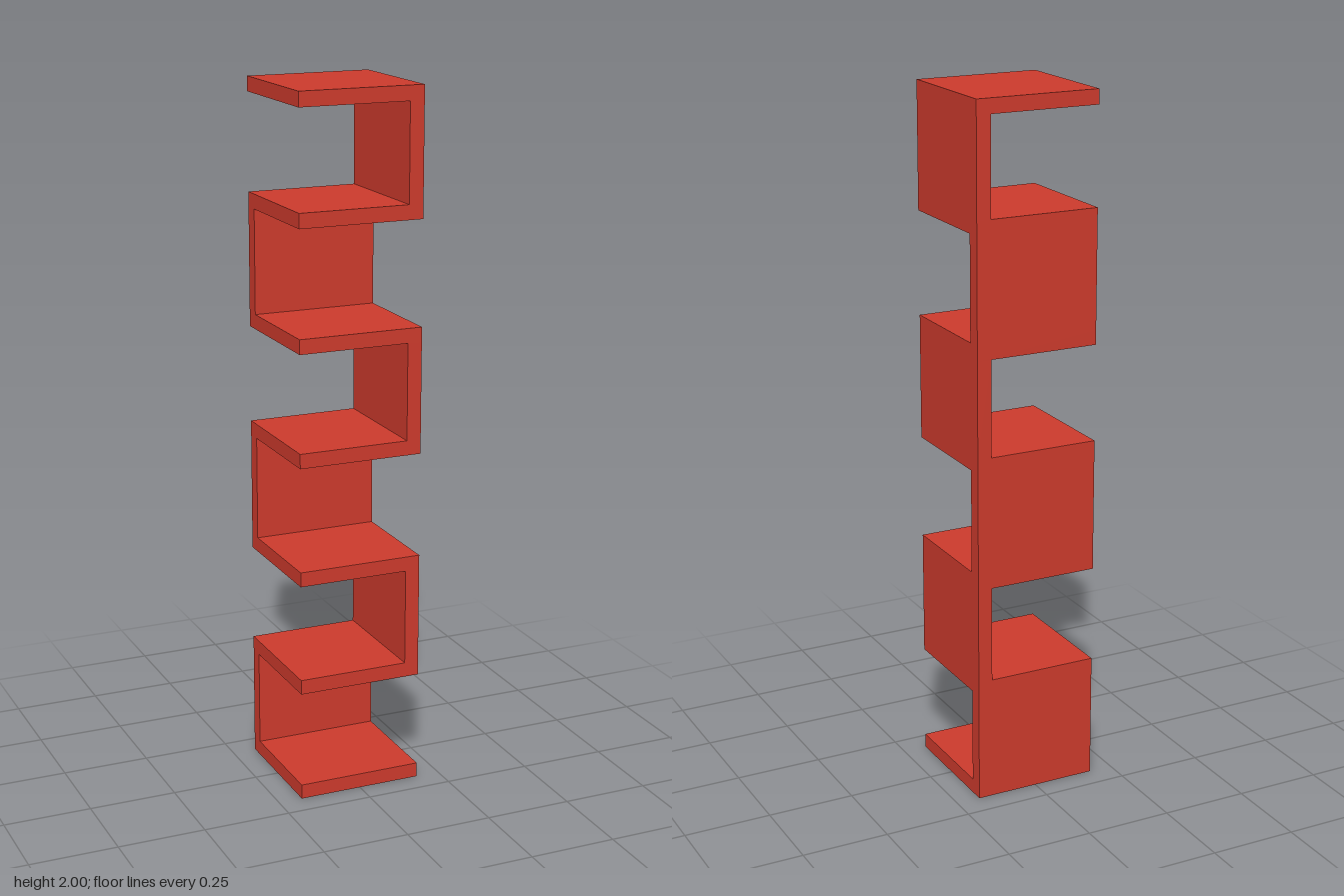
import * as THREE from 'three';

const W = 0.362; // width and depth of the tower
const T = 0.042; // board thickness

export function createModel() {
  const model = new THREE.Group();
  model.name = 'zigzagShelf';
  const red = new THREE.MeshStandardMaterial({ color: 0xcb3a2c });
  red.name = 'red';

  const board = (name, w, h, d, x, y, z) => {
    const mesh = new THREE.Mesh(new THREE.BoxGeometry(w, h, d), red);
    mesh.name = name;
    mesh.position.set(x, y + h / 2, z);
    model.add(mesh);
  };

  // Underside height of each shelf
  const levels = [0, 0.32, 0.64, 0.981, 1.3, 1.64, 2 - T];
  levels.forEach((y, i) => {
    board(`shelf${i + 1}`, W, T, W, 0, y, 0);
    if (i === levels.length - 1) return;
    // Panels fill the gaps, alternating between the back and the left side
    const bottom = y + T;
    const height = levels[i + 1] - bottom;
    const offset = (W - T) / 2;
    if (i % 2 === 0) board(`backPanel${i / 2 + 1}`, W, height, T, 0, bottom, -offset);
    else board(`sidePanel${(i + 1) / 2}`, T, height, W, offset, bottom, 0);
  });

  return model;
}
